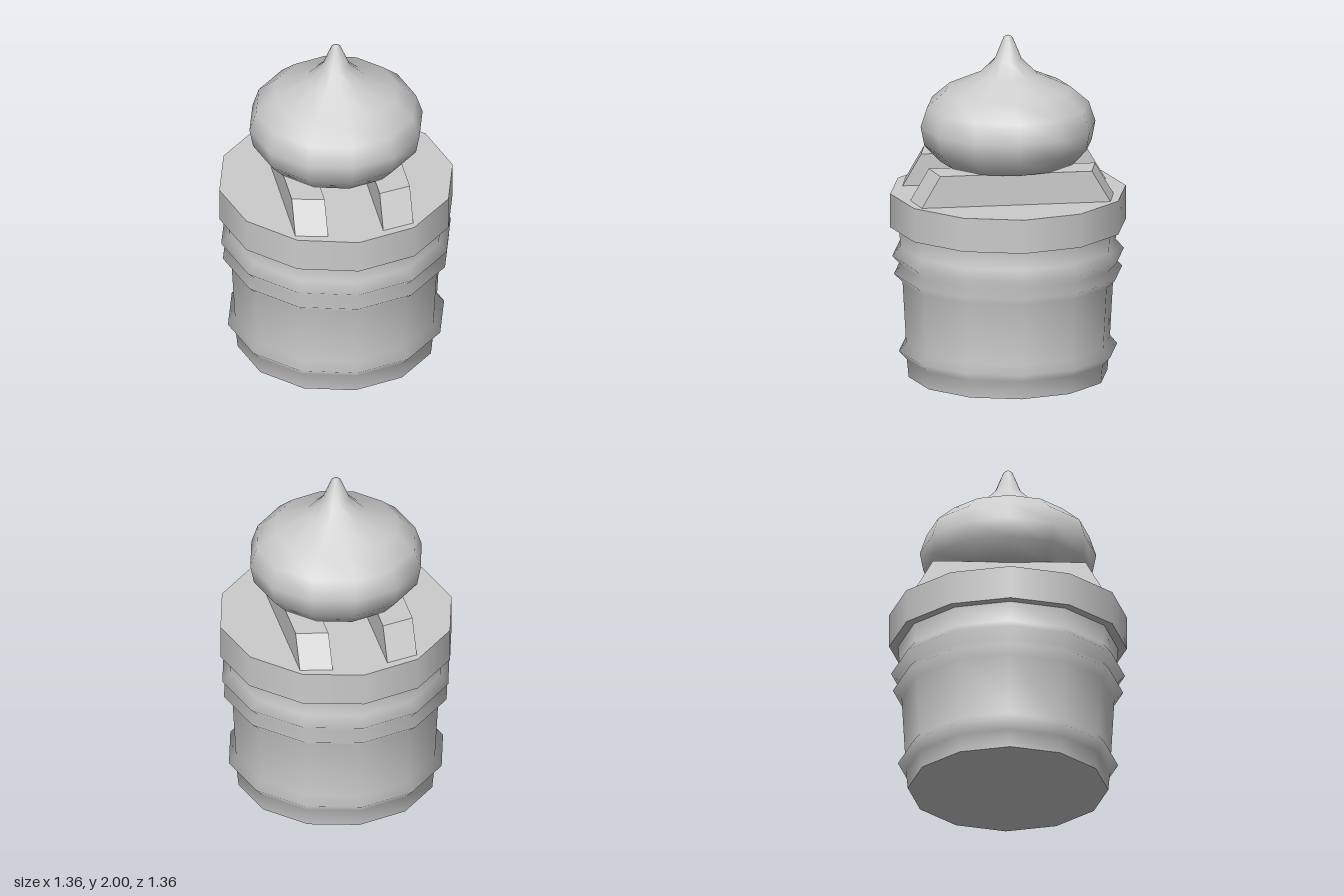
import * as THREE from 'three';

const SIDES = 12;
const material = new THREE.MeshStandardMaterial({ color: 0xcccccc });

// Smooth 12-sided turned surface from [radius, height] pairs, bottom to top
function turned(points) {
  return new THREE.LatheGeometry(points.map(([r, y]) => new THREE.Vector2(r, y)), SIDES);
}

function add(parent, name, geometry) {
  const mesh = new THREE.Mesh(geometry, material);
  mesh.name = name;
  parent.add(mesh);
  return mesh;
}

// Flat disc facing up (or down), with corners on the x and z axes
function disc(parent, name, radius, y, down = false) {
  const mesh = add(parent, name, new THREE.CircleGeometry(radius, SIDES));
  mesh.rotation.x = down ? Math.PI / 2 : -Math.PI / 2;
  mesh.position.y = y;
}

// Bar across the lid, its ends following the rim and sloping inward at the top
function bar(side) {
  const inner = 0.16, outer = 0.343;
  const geometry = new THREE.BoxGeometry(outer - inner, 0.19, 1);
  geometry.translate(side * (inner + outer) / 2, 1.175, 0);
  const p = geometry.attributes.position;
  for (let i = 0; i < p.count; i++) {
    const baseZ = 0.588 - 0.23 * (Math.abs(p.getX(i)) - inner);
    const slope = p.getY(i) > 1.175 ? 0.11 : 0;
    p.setZ(i, Math.sign(p.getZ(i)) * (baseZ - slope));
  }
  geometry.computeVertexNormals();
  return geometry;
}

export function createModel() {
  const model = new THREE.Group();
  model.name = 'toppedJar';

  // Tapered body with three raised rings
  const body = new THREE.Group();
  body.name = 'body';
  model.add(body);
  add(body, 'bodyWall', turned([
    [0.572, 0], [0.582, 0.105], [0.628, 0.155], [0.587, 0.205],
    [0.607, 0.565], [0.657, 0.612], [0.614, 0.662], [0.667, 0.717],
    [0.62, 0.772], [0.627, 0.89],
  ]));
  disc(body, 'bodyBase', 0.572, 0, true);

  // Overhanging lid
  const lid = new THREE.Group();
  lid.name = 'lid';
  model.add(lid);
  add(lid, 'lidWall', turned([[0.678, 0.888], [0.678, 1.086]]));
  disc(lid, 'lidTop', 0.678, 1.086);
  disc(lid, 'lidUnderside', 0.678, 0.888, true);

  // Two parallel bars on the lid
  add(model, 'leftBar', bar(1));
  add(model, 'rightBar', bar(-1));

  // Bulbous dollop drawn up to a point
  add(model, 'dollop', turned([
    [0, 1.222], [0.395, 1.27], [0.482, 1.365], [0.503, 1.475],
    [0.465, 1.59], [0.358, 1.683], [0.167, 1.77], [0.078, 1.86],
    [0.027, 1.985], [0.012, 1.997], [0, 2],
  ]));

  return model;
}
